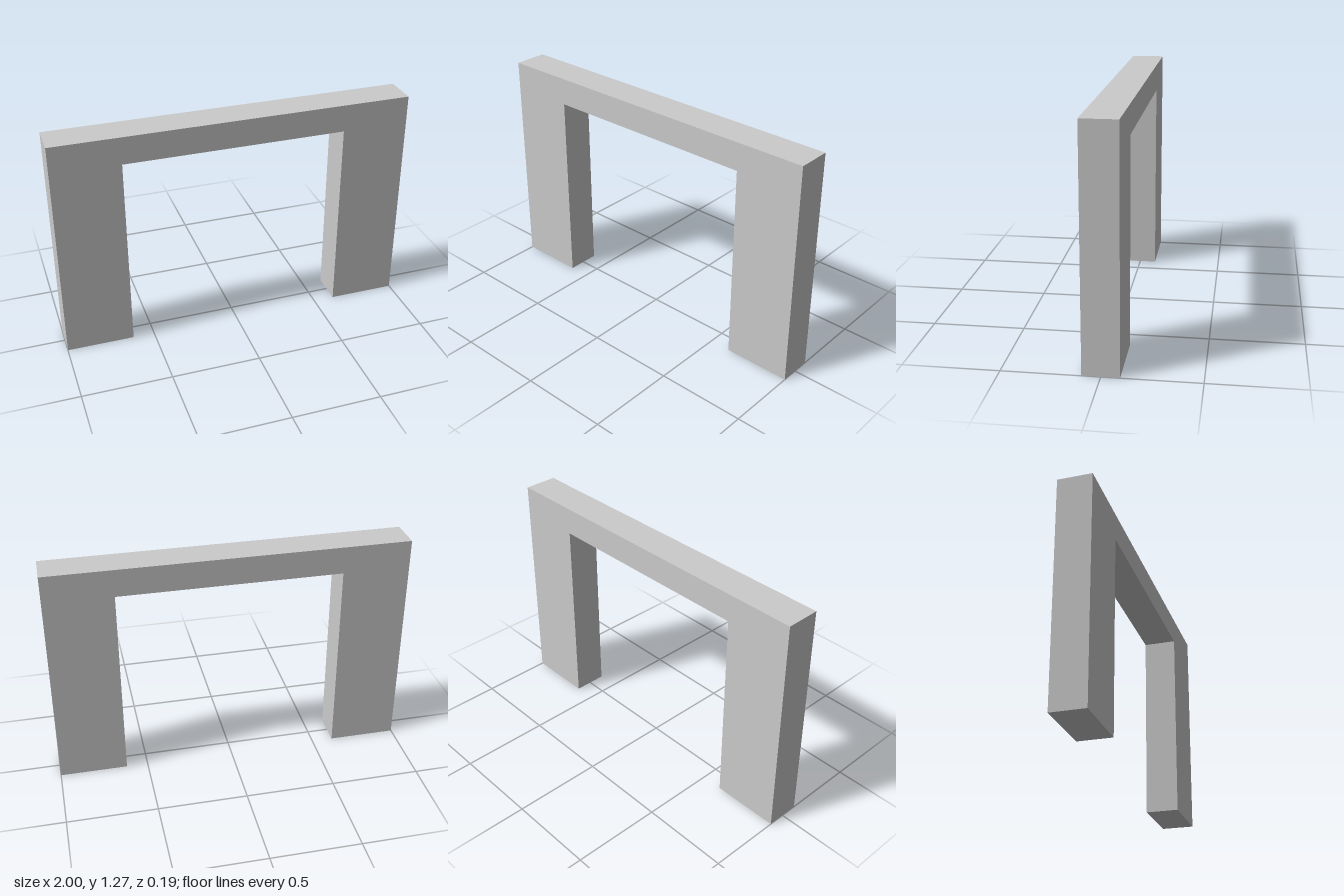
import * as THREE from 'three';

const HALF_WIDTH = 1, HEIGHT = 1.272, DEPTH = 0.19;
const OPENING_HALF = 0.621, OPENING_HEIGHT = 1.117;

export function createModel() {
  const group = new THREE.Group();
  group.name = 'archway';

  // One outline: two legs joined by a lintel
  const outline = new THREE.Shape([
    [-HALF_WIDTH, 0], [-OPENING_HALF, 0],
    [-OPENING_HALF, OPENING_HEIGHT], [OPENING_HALF, OPENING_HEIGHT],
    [OPENING_HALF, 0], [HALF_WIDTH, 0],
    [HALF_WIDTH, HEIGHT], [-HALF_WIDTH, HEIGHT],
  ].map(([x, y]) => new THREE.Vector2(x, y)));

  const geometry = new THREE.ExtrudeGeometry(outline, { depth: DEPTH, bevelEnabled: false });
  geometry.translate(0, 0, -DEPTH / 2);

  const frame = new THREE.Mesh(
    geometry,
    new THREE.MeshStandardMaterial({ color: 0xcccccc, flatShading: true }),
  );
  frame.name = 'frame';
  group.add(frame);
  return group;
}
